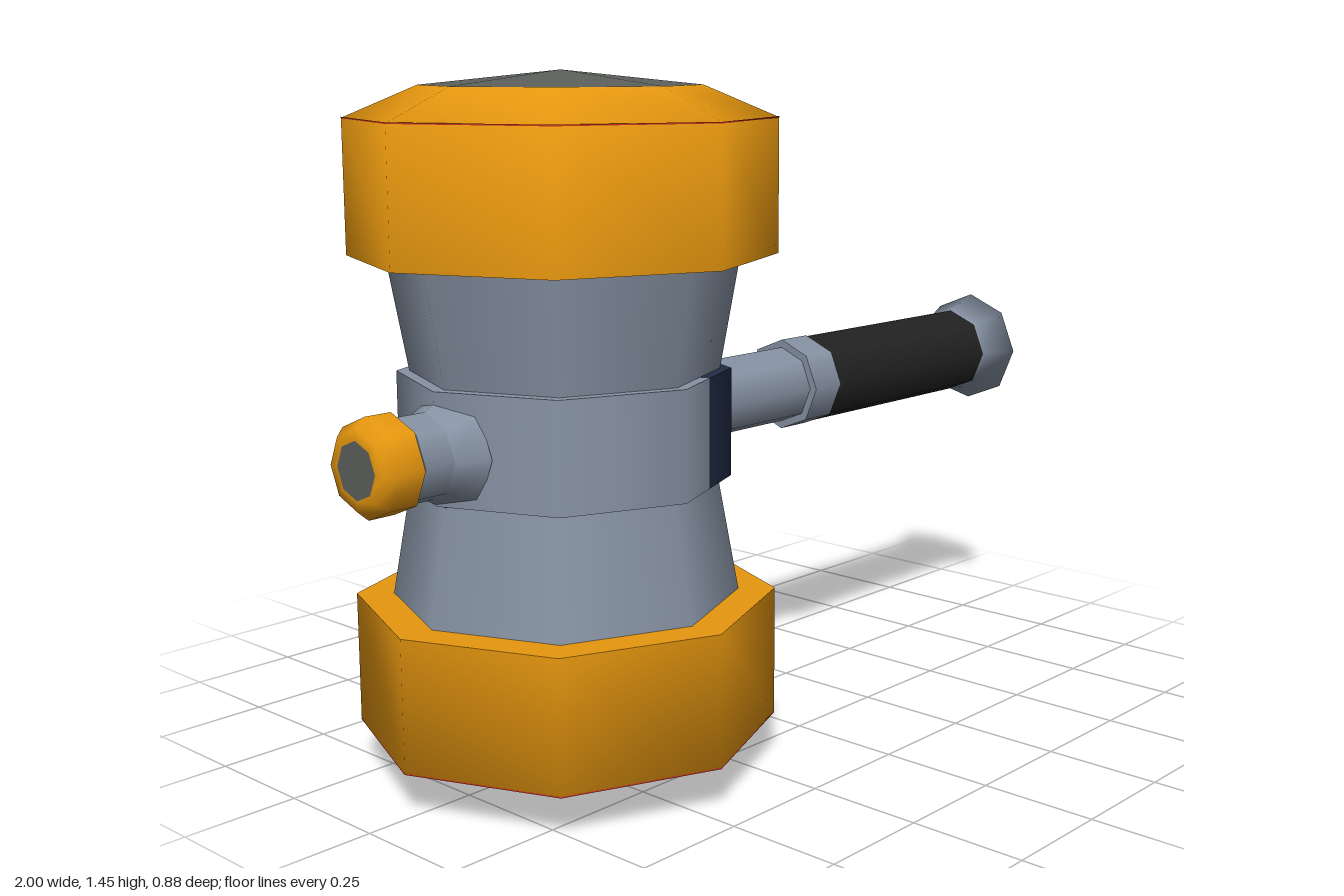
import * as THREE from 'three';

const material = (name, color) => {
  const m = new THREE.MeshStandardMaterial({ color });
  m.name = name;
  return m;
};

export function createModel() {
  const orange = material('orange', 0xe8980f);
  const steel = material('steel grey', 0x8793a4);
  const darkGrey = material('dark grey', 0x5c605b);
  const navy = material('navy', 0x222d48);
  const black = material('grip black', 0x222222);
  const red = material('red', 0xc8321e);

  const root = new THREE.Group();
  root.name = 'hammer';

  const add = (parent, name, geometry, mat) => {
    const mesh = new THREE.Mesh(geometry, mat);
    mesh.name = name;
    parent.add(mesh);
    return mesh;
  };
  // Eight-sided turned part; a repeated profile point makes a sharp edge.
  const turned = (points) =>
    new THREE.LatheGeometry(points.map(([r, y]) => new THREE.Vector2(r, y)), 8);

  // Head: two mirrored ends around the middle
  const midY = 0.728;
  for (const [side, x] of [['upper', -0.466], ['lower', -0.471]]) {
    const end = new THREE.Group();
    end.name = side + 'HeadEnd';
    end.position.set(x, midY, 0);
    if (side === 'lower') end.rotation.x = Math.PI;
    add(end, 'neck', turned([[0.317, 0.1], [0.365, 0.37]]), steel);
    add(end, 'cap', turned([
      [0.3, 0.356], [0.44, 0.356], [0.44, 0.356],
      [0.44, 0.632], [0.287, 0.697],
    ]), orange);
    add(end, 'strikingFace', turned([[0.287, 0.697], [0, 0.727]]), darkGrey);
    add(end, 'capSeam', turned([[0.4405, 0.631], [0.4405, 0.634]]), red);
    root.add(end);
  }

  // Middle band: an octagon whose colours change halfway along two of its sides
  const bandArc = (segments, start) => {
    const r = 0.345, step = Math.PI / 8;
    const g = new THREE.CylinderGeometry(r, r, 0.228, segments, 1, false, start * step, segments * step);
    const p = g.attributes.position;
    for (let i = 0; i < p.count; i++) {
      const k = Math.round(Math.atan2(p.getX(i), p.getZ(i)) / step);
      const s = k % 2 === 0 ? 1 : Math.cos(step); // odd corners lie on the flat sides
      p.setX(i, p.getX(i) * s);
      p.setZ(i, p.getZ(i) * s);
    }
    return g;
  };
  const band = new THREE.Group();
  band.name = 'middleBand';
  band.position.set(-0.468, 0.732, 0);
  add(band, 'navyBand', bandArc(6, 1), navy);
  add(band, 'steelBand', bandArc(10, 7), steel);
  root.add(band);

  // Handle: profiles run along x
  const handle = new THREE.Group();
  handle.name = 'handle';
  handle.position.y = 0.721;
  root.add(handle);
  const along = (name, points, mat) =>
    add(handle, name, turned(points).rotateZ(-Math.PI / 2), mat);
  const rod = (name, r, x0, x1, mat) =>
    along(name, [[0, x0], [r, x0], [r, x0], [r, x1], [r, x1], [0, x1]], mat);

  rod('shaft', 0.088, -0.905, 0.24, steel);
  along('shaftFlare', [[0.088, -0.835], [0.12, -0.77]], steel);
  rod('collar', 0.106, 0.225, 0.315, steel);
  rod('grip', 0.104, 0.314, 0.91, black);
  along('pommel', [[0, 0.905], [0.1, 0.905], [0.1, 0.905], [0.138, 1], [0, 1]], steel);

  // Knob on the far end of the shaft
  rod('knobPin', 0.03, -0.93, -0.9, steel);
  along('knob', [
    [0.058, -1], [0.08, -0.999], [0.1, -0.975], [0.1, -0.915], [0.1, -0.915], [0, -0.915],
  ], orange);
  along('knobFace', [[0, -1], [0.058, -1]], darkGrey);

  return root;
}
